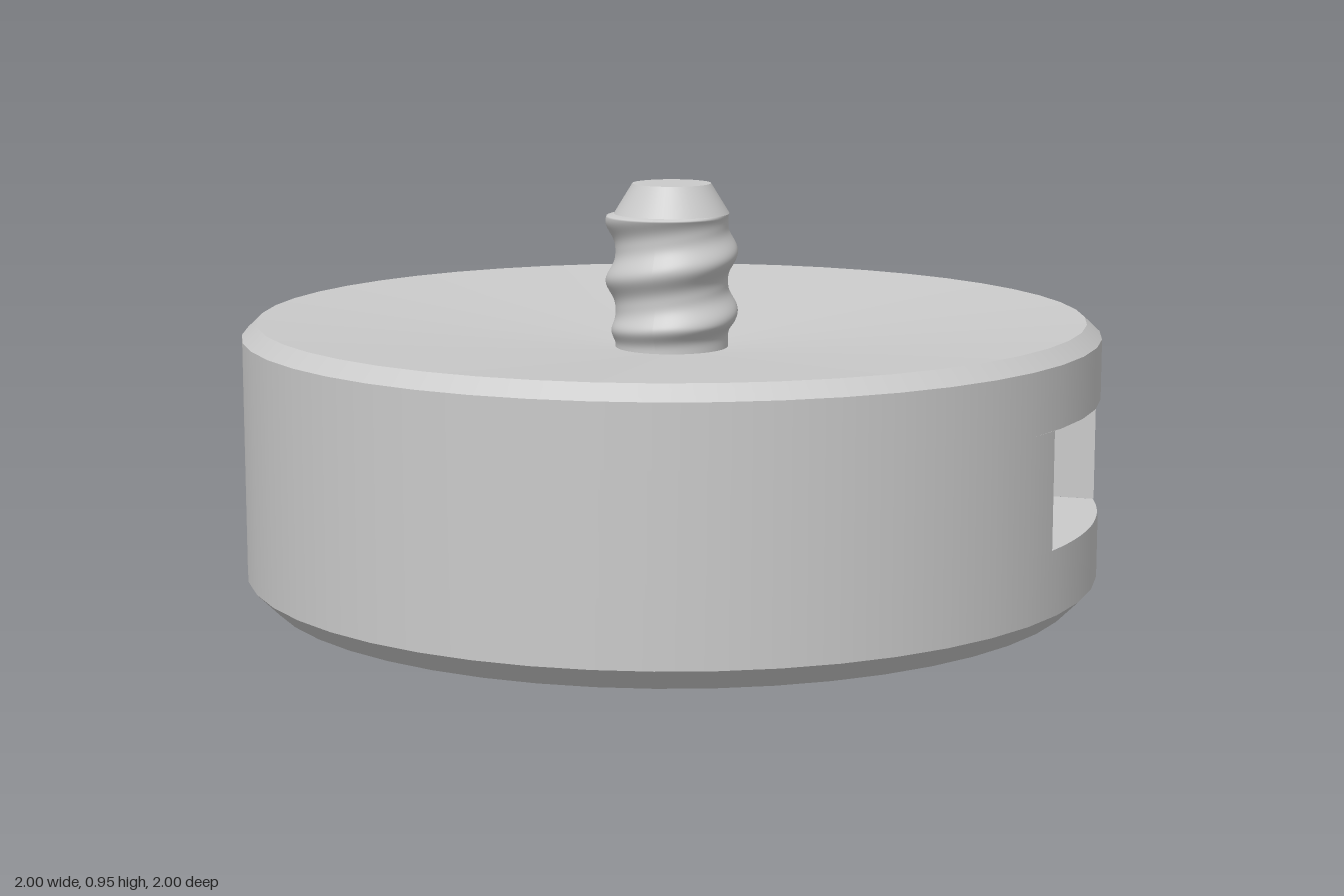
import * as THREE from 'three';

const SEG = 48;
const SLOT_BOTTOM = 0.2, SLOT_TOP = 0.467; // heights of the nut slot
const HALF = 0.29;                         // half the slot width
const HEX = HALF / Math.cos(Math.PI / 6);  // hexagon corner radius
const HOLE = 0.17;
const RIM_TOP = 0.607;

export function createModel() {
  const gray = new THREE.MeshStandardMaterial({ color: 0xcacaca });
  gray.name = 'plainGray';
  const model = new THREE.Group();
  model.name = 'threadedKnob';

  const group = (name) => {
    const g = new THREE.Group();
    g.name = name;
    model.add(g);
    return g;
  };
  const add = (name, geometry, parent) => {
    const mesh = new THREE.Mesh(geometry, gray);
    mesh.name = name;
    parent.add(mesh);
  };

  // Revolved surface; separate bands keep the rims sharp
  const lathe = (points, segments = SEG, start = 0, length = Math.PI * 2) =>
    new THREE.LatheGeometry(points.map(([r, y]) => new THREE.Vector2(r, y)), segments, start, length);

  const body = group('body');
  add('boltHole', lathe([[HOLE, SLOT_BOTTOM], [HOLE, 0]]), body);
  add('underside', lathe([[HOLE, 0], [0.95, 0]]), body);
  add('lowerChamfer', lathe([[0.95, 0], [1, 0.05]]), body);
  add('upperChamfer', lathe([[1, RIM_TOP], [0.965, 0.64]]), body);
  // Top dips gently towards the stud
  add('dishedTop', lathe([[0.965, 0.64], [0, 0.555]]), body);

  // Rim with the six middle facets around +x left out for the slot
  const rim = lathe([[1, 0.05], [1, SLOT_BOTTOM], [1, SLOT_TOP], [1, RIM_TOP]]);
  rim.setIndex(Array.from(rim.index.array).filter((_, k) => {
    const segment = Math.floor(k / 18), row = Math.floor(k / 6) % 3;
    return !(row === 1 && segment >= 9 && segment <= 14);
  }));
  add('rim', rim, body);
  // Narrow strips between the slot mouth and the rim facets
  const mouth = Math.asin(HALF), gap = Math.PI / 8;
  for (const start of [Math.PI / 2 - gap, Math.PI / 2 + mouth]) {
    add('slotJamb', lathe([[1, SLOT_BOTTOM], [1, SLOT_TOP]], 1, start, gap - mouth), body);
  }

  // Slot for a hexagonal nut, open towards +x
  const slot = group('nutSlot');
  const outline = () => {
    const s = new THREE.Shape();
    s.moveTo(-HEX, 0);
    s.lineTo(-HEX / 2, -HALF);
    s.lineTo(Math.cos(mouth), -HALF);
    s.absarc(0, 0, 0.998, -mouth, mouth, false);
    s.lineTo(-HEX / 2, HALF);
    s.closePath();
    return s;
  };
  const floorShape = outline();
  floorShape.holes.push(new THREE.Path().absarc(0, 0, HOLE, 0, Math.PI * 2, true));
  add('slotFloor', new THREE.ShapeGeometry(floorShape, 24)
    .rotateX(-Math.PI / 2).translate(0, SLOT_BOTTOM, 0), slot);
  add('slotCeiling', new THREE.ShapeGeometry(outline(), 24)
    .rotateX(Math.PI / 2).translate(0, SLOT_TOP, 0), slot);

  const h = SLOT_TOP - SLOT_BOTTOM, midY = (SLOT_TOP + SLOT_BOTTOM) / 2;
  const sideLength = Math.cos(mouth) + HEX / 2;
  const sideX = (Math.cos(mouth) - HEX / 2) / 2;
  for (const s of [1, -1]) {
    // Straight side wall
    add('slotSide', new THREE.PlaneGeometry(sideLength, h)
      .rotateY(s > 0 ? Math.PI : 0).translate(sideX, midY, s * HALF), slot);
    // Angled back wall
    const turn = s > 0 ? Math.PI * 2 / 3 : Math.PI / 3;
    add('slotBack', new THREE.PlaneGeometry(HEX, h).rotateY(turn)
      .translate(-HALF * Math.sin(turn), midY, -HALF * Math.cos(turn)), slot);
  }

  // Right-handed threaded stud, its ridge fading in above a plain foot
  const stud = group('stud');
  const base = 0.55, shoulder = 0.88, top = 0.95, pitch = 0.14;
  const thread = new THREE.CylinderGeometry(1, 1, shoulder - base, 64, 80, true)
    .translate(0, (shoulder + base) / 2, 0);
  const p = thread.attributes.position;
  for (let i = 0; i < p.count; i++) {
    const x = p.getX(i), y = p.getY(i), z = p.getZ(i);
    const phase = 2 * Math.PI * (y - 0.75) / pitch - Math.atan2(x, z);
    const fade = THREE.MathUtils.smoothstep(y, 0.57, 0.63);
    const ridge = 0.132 + 0.023 * fade * Math.pow(0.5 + 0.5 * Math.cos(phase), 1.5);
    const r = y > shoulder - 0.001 ? 0.135 : ridge;
    p.setXYZ(i, x * r, y, z * r);
  }
  thread.computeVertexNormals();
  add('thread', thread, stud);
  add('studTaper', lathe([[0.135, shoulder], [0.092, top]]), stud);
  add('studTip', lathe([[0.092, top], [0, top]]), stud);

  return model;
}
